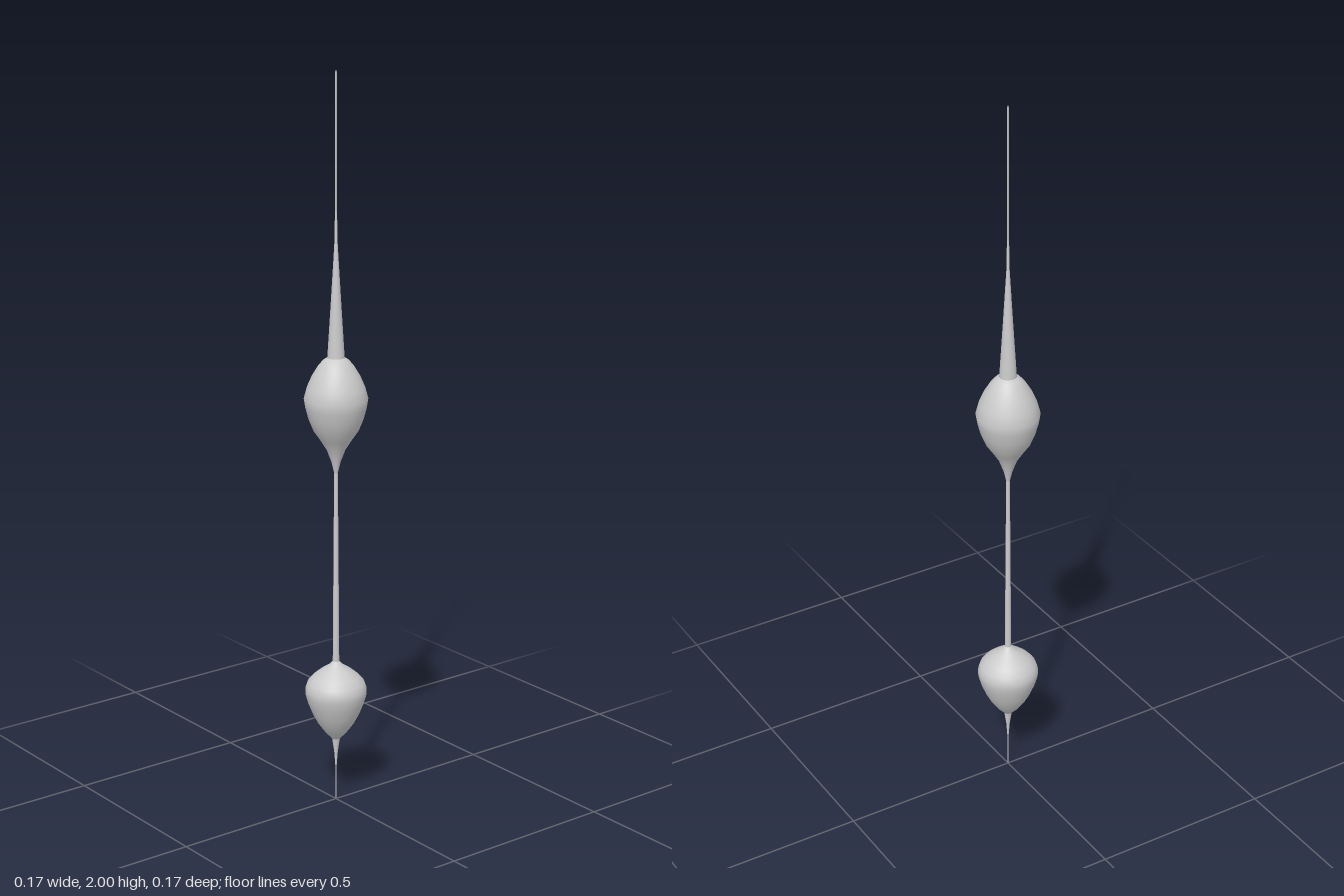
import * as THREE from 'three';

const material = new THREE.MeshStandardMaterial({ color: 0xcccccc, side: THREE.DoubleSide });

// Turned part from [radius, height] pairs, bottom to top
function turned(name, profile, segments = 48) {
  const points = profile.map(([r, y]) => new THREE.Vector2(r, y));
  const mesh = new THREE.Mesh(new THREE.LatheGeometry(points, segments), material);
  mesh.name = name;
  return mesh;
}

export function createModel() {
  const group = new THREE.Group();
  group.name = 'finial';

  group.add(
    // Fine point at the bottom, widening to the lower bulb
    turned('bottomTip', [[0, 0], [0.002, 0.005], [0.002, 0.1], [0.005, 0.14], [0.011, 0.18]], 16),
    turned('lowerBulb', [
      [0.011, 0.18], [0.03, 0.2], [0.05, 0.228], [0.064, 0.255], [0.076, 0.285],
      [0.083, 0.31], [0.083, 0.327], [0.077, 0.345], [0.062, 0.362], [0.04, 0.38],
      [0.02, 0.393], [0.009, 0.405],
    ]),
    // Slender shaft between the bulbs
    turned('shaft', [[0.009, 0.405], [0.008, 0.52], [0.007, 0.7], [0.005, 0.935]], 16),
    turned('upperBulb', [
      [0.005, 0.935], [0.012, 0.965], [0.025, 1.0], [0.042, 1.027], [0.06, 1.053],
      [0.073, 1.085], [0.081, 1.115], [0.085, 1.14], [0.077, 1.17], [0.064, 1.2],
      [0.047, 1.228], [0.034, 1.243], [0.023, 1.25],
    ]),
    // Tapering spire and its needle
    turned('spire', [[0.023, 1.25], [0.013, 1.41], [0.004, 1.56], [0.003, 1.63]], 24),
    turned('needle', [[0.003, 1.63], [0.002, 1.64], [0.002, 1.995], [0, 2]], 12),
  );
  return group;
}
